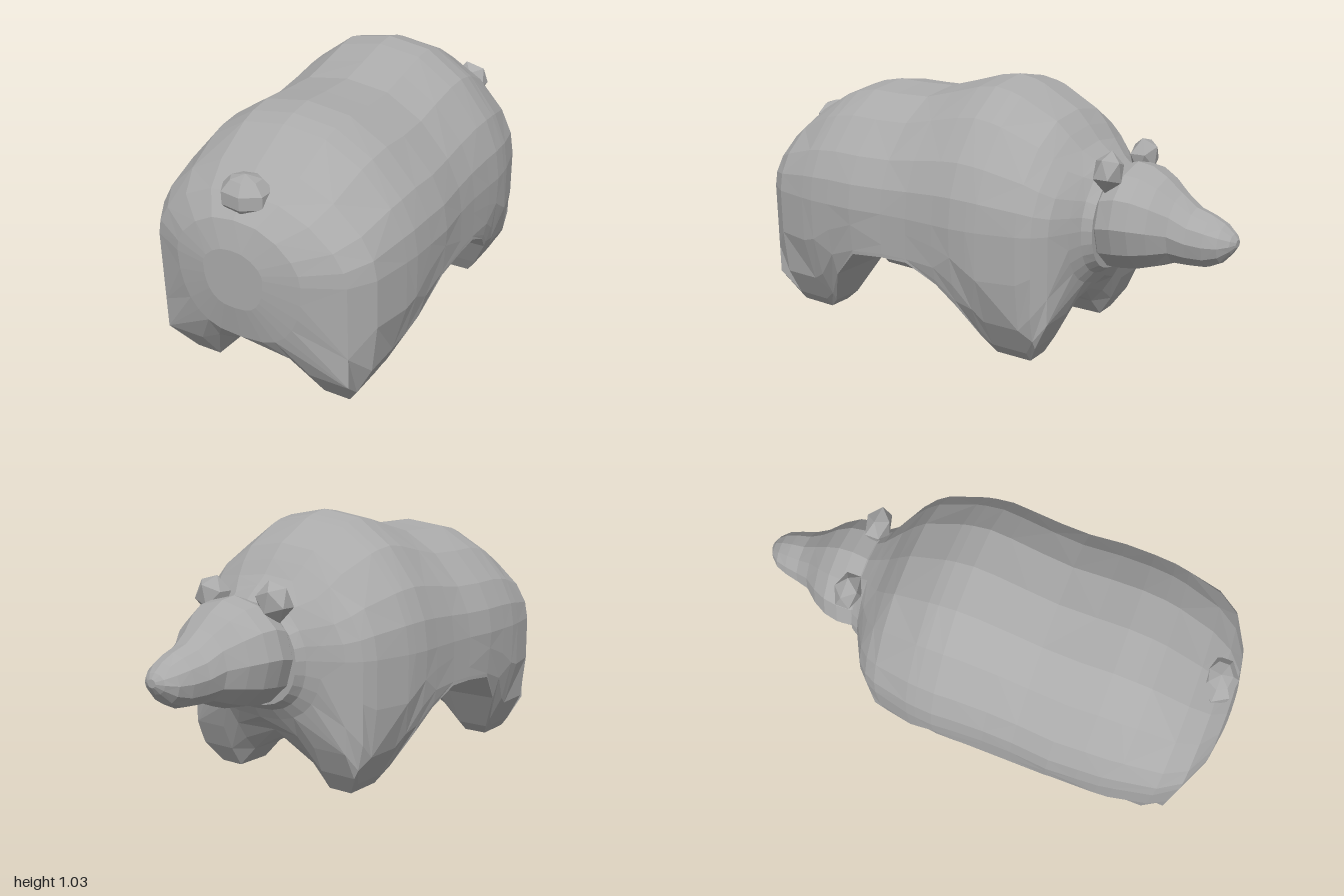
import * as THREE from 'three';

const fur = new THREE.MeshStandardMaterial({ color: 0xaaaaaa, flatShading: true });
fur.name = 'grey fur';

// Skins half outlines (top centre to bottom centre, x >= 0), mirrored, from +z to -z
function loft(sections) {
  const pos = [], index = [];
  const rings = sections.map(({ z, half }) => {
    const mirror = half.slice(1, -1).reverse().map(([x, y]) => [-x, y]);
    return [...half, ...mirror].map(([x, y]) => [x, y, z]);
  });
  const n = rings[0].length;
  rings.forEach((ring) => ring.forEach((p) => pos.push(...p)));
  for (let i = 0; i < rings.length - 1; i++) {
    for (let j = 0; j < n; j++) {
      const k = (j + 1) % n;
      const a = i * n + j, b = i * n + k, c = a + n, d = b + n;
      // alternate the diagonals for a faceted look
      if ((i + j) % 2) index.push(a, b, d, a, d, c);
      else index.push(a, b, c, b, d, c);
    }
  }
  // end caps
  [0, rings.length - 1].forEach((r) => {
    const ring = rings[r], half = sections[r].half;
    const centre = pos.length / 3;
    pos.push(0, (half[0][1] + half[half.length - 1][1]) / 2, ring[0][2]);
    for (let j = 0; j < n; j++) {
      const a = r * n + j, b = r * n + ((j + 1) % n);
      if (r === 0) index.push(centre, b, a);
      else index.push(centre, a, b);
    }
  });
  const geo = new THREE.BufferGeometry();
  geo.setAttribute('position', new THREE.Float32BufferAttribute(pos, 3));
  geo.setIndex(index);
  geo.computeVertexNormals();
  return geo;
}

// Widest x of the flank and leg at a given height
const FLANK = [[0, 0.33], [0.04, 0.36], [0.19, 0.44], [0.33, 0.48], [0.53, 0.497]];
function flank(y) {
  for (let i = 1; i < FLANK.length; i++) {
    const [y0, x0] = FLANK[i - 1], [y1, x1] = FLANK[i];
    if (y <= y1) return x0 + (x1 - x0) * (y - y0) / (y1 - y0);
  }
  return 0.497;
}

const MID = 0.52;
const ARC = [[0, 1], [0.35, 0.945], [0.64, 0.75], [0.87, 0.46], [0.97, 0.22], [1, 0]];

// Body outline: back height, half width, leg bottom, belly height (none = rounded end)
function bodyHalf(top, w, leg, belly) {
  const half = ARC.map(([x, y]) => [x * w, MID + (top - MID) * y]);
  if (belly === undefined) {
    for (let i = 1; i <= 7; i++) {
      const a = i / 7 * Math.PI / 2;
      half.push([i === 7 ? 0 : w * Math.pow(Math.cos(a), 0.7), MID - (MID - leg) * Math.pow(Math.sin(a), 0.9)]);
    }
    return half;
  }
  for (const f of [0.35, 0.7, 0.92, 1]) {
    const y = MID - (MID - leg) * f;
    half.push([Math.min(w, flank(y)), y]);
  }
  half.push([0.23, leg], [0.15, leg + (belly - leg) * 0.5], [0, belly]);
  return half;
}

// z, back height, half width, leg bottom, belly height
const BODY = [
  [1.0, 0.6, 0.12, 0.38],
  [0.975, 0.7, 0.25, 0.25],
  [0.91, 0.77, 0.385, 0.13, 0.21],
  [0.82, 0.84, 0.445, 0.005, 0.2],
  [0.67, 0.925, 0.475, 0, 0.2],
  [0.61, 0.945, 0.485, 0.05, 0.2],
  [0.52, 0.96, 0.49, 0.21, 0.22],
  [0.4, 0.955, 0.495, 0.33, 0.28],
  [0.25, 0.955, 0.482, 0.345, 0.32],
  [0.13, 0.985, 0.48, 0.345, 0.31],
  [0.0, 1.02, 0.485, 0.28, 0.25],
  [-0.08, 1.03, 0.49, 0.2, 0.2],
  [-0.15, 1.015, 0.485, 0.07, 0.17],
  [-0.19, 1.0, 0.48, 0, 0.165],
  [-0.34, 0.915, 0.445, 0, 0.165],
  [-0.39, 0.86, 0.42, 0.08, 0.2],
  [-0.435, 0.805, 0.375, 0.18, 0.24],
  [-0.475, 0.77, 0.3, 0.27],
  [-0.5, 0.75, 0.25, 0.31],
  [-0.535, 0.72, 0.23, 0.335],
];

// z, top, bottom, half width
const HEAD = [
  [-0.5, 0.68, 0.36, 0.19],
  [-0.54, 0.725, 0.33, 0.222],
  [-0.6, 0.745, 0.332, 0.23],
  [-0.66, 0.735, 0.34, 0.218],
  [-0.72, 0.7, 0.36, 0.185],
  [-0.78, 0.65, 0.385, 0.135],
  [-0.84, 0.605, 0.386, 0.115],
  [-0.9, 0.585, 0.39, 0.1],
  [-0.95, 0.56, 0.415, 0.082],
  [-0.985, 0.53, 0.455, 0.05],
  [-1.0, 0.51, 0.48, 0.02],
];
function headHalf(top, bottom, w) {
  const c = (top + bottom) / 2, h = (top - bottom) / 2, half = [];
  for (let i = 0; i <= 6; i++) {
    const a = i / 6 * Math.PI;
    half.push([i % 6 ? w * Math.sin(a) : 0, c + h * Math.cos(a)]);
  }
  return half;
}

export function createModel() {
  const model = new THREE.Group();
  model.name = 'bear';
  const add = (name, geo) => {
    const mesh = new THREE.Mesh(geo, fur);
    mesh.name = name;
    model.add(mesh);
    return mesh;
  };

  add('bodyAndLegs', loft(BODY.map(([z, ...s]) => ({ z, half: bodyHalf(...s) }))));
  add('head', loft(HEAD.map(([z, ...s]) => ({ z, half: headHalf(...s) }))));

  // ears
  for (const side of [1, -1]) {
    const ear = add(side > 0 ? 'leftEar' : 'rightEar', new THREE.IcosahedronGeometry(1, 0));
    ear.scale.set(0.08, 0.077, 0.055);
    ear.position.set(side * 0.152, 0.73, -0.555);
    ear.rotation.z = -side * 0.25;
  }

  // stubby tail
  const tail = add('tail', new THREE.SphereGeometry(1, 7, 5));
  tail.scale.set(0.1, 0.075, 0.08);
  tail.position.set(0, 0.758, 0.895);

  return model;
}
